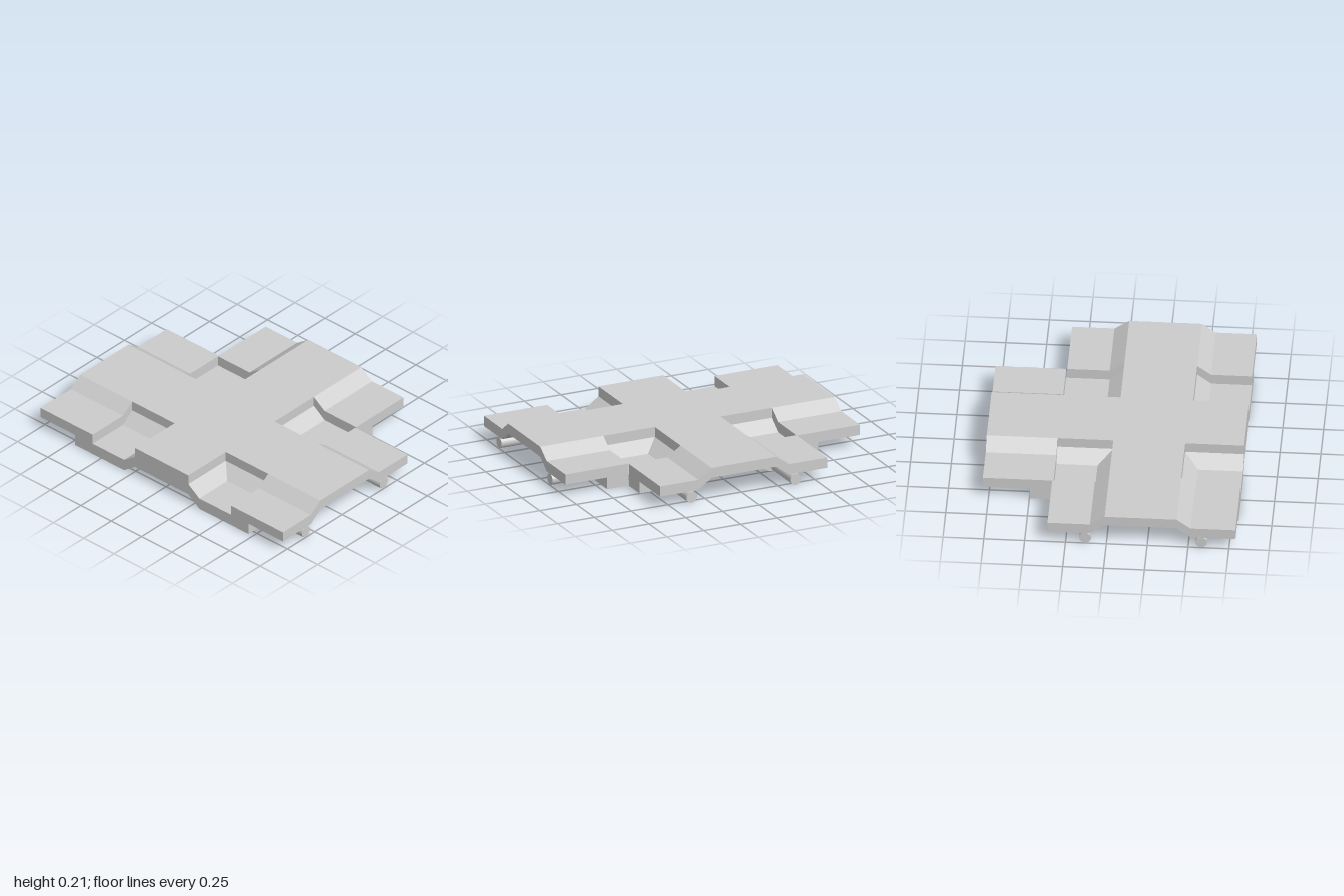
import * as THREE from 'three';

const mat = new THREE.MeshStandardMaterial({ color: 0xcccccc });

// Heights: each layer is a folded sheet, low on the flanks and raised along the ridge
const UPPER = { low: 0.147, high: 0.21, bottomLow: 0.08, bottomHigh: 0.145 };
const LOWER = { low: 0.08, high: 0.145, bottomLow: 0.004, bottomHigh: 0.07 };

// Fold positions: edge, slope foot, ridge, ridge, slope foot, edge
const FRONT = [-0.79, -0.535, -0.45, -0.005, 0.085, 0.345];
const BACK = [-0.79, -0.515, -0.43, 0.01, 0.1, 0.36];
const SIDE = [-0.57, -0.31, -0.22, 0.22, 0.31, 0.57];
const WINDOW_X = 0.352;

export function createModel() {
  const group = new THREE.Group();

  const add = (name, geometry) => {
    const mesh = new THREE.Mesh(geometry, mat);
    mesh.name = name;
    group.add(mesh);
    return mesh;
  };

  // Folded sheet with vertical thickness, extruded along z
  const foldedSheet = (folds, h, depth) => {
    const isRidge = (i) => i === 2 || i === 3;
    const top = folds.map((u, i) => new THREE.Vector2(u, isRidge(i) ? h.high : h.low));
    const under = folds.map((u, i) => new THREE.Vector2(u, isRidge(i) ? h.bottomHigh : h.bottomLow));
    return new THREE.ExtrudeGeometry(new THREE.Shape([...under, ...top.reverse()]), { depth, bevelEnabled: false });
  };

  // Raised cross joining all arms
  const plan = [
    [FRONT[2], 0.57], [FRONT[3], 0.57], [FRONT[3], 0.22], [WINDOW_X, 0.22],
    [WINDOW_X, -0.22], [BACK[3], -0.22], [BACK[3], -0.57], [BACK[2], -0.57],
    [BACK[2], -0.22], [-0.79, -0.22], [-0.79, 0.22], [FRONT[2], 0.22],
  ].map(([x, z]) => new THREE.Vector2(x, z));
  const cross = new THREE.ExtrudeGeometry(new THREE.Shape(plan), { depth: 0.14, bevelEnabled: false });
  add('centralCross', cross.rotateX(Math.PI / 2).translate(0, 0.21, 0));

  // Folded arms: the upper sheet overhangs the lower one
  for (const [name, h, zEnd, xEnd] of [['upper', UPPER, 1, 0.785], ['lower', LOWER, 0.715, 0.5]]) {
    add(name + 'FrontArm', foldedSheet(FRONT, h, zEnd - 0.57).translate(0, 0, 0.57));
    add(name + 'BackArm', foldedSheet(BACK, h, zEnd - 0.57).translate(0, 0, -zEnd));
    add(name + 'SideArm', foldedSheet(SIDE, h, xEnd - WINDOW_X).rotateY(Math.PI / 2).translate(WINDOW_X, 0, 0));
  }

  // Recessed corner pan: two slopes meeting in a hip above a flat floor
  const pan = (xs, zs) => {
    const out = [];
    const flip = (xs[2] - xs[0]) * (zs[2] - zs[0]) < 0;
    const tri = (a, b, c) => out.push(...a, ...(flip ? c : b), ...(flip ? b : c));
    const high = (i, j) => i === 0 || j === 0;
    const T = (i, j) => [xs[i], high(i, j) ? LOWER.high : LOWER.low, zs[j]];
    const B = (i, j) => [xs[i], high(i, j) ? LOWER.bottomHigh : LOWER.bottomLow, zs[j]];
    for (let j = 0; j < 2; j++) {
      for (let i = 0; i < 2; i++) {
        tri(T(i, j), T(i, j + 1), T(i + 1, j + 1));
        tri(T(i, j), T(i + 1, j + 1), T(i + 1, j));
        tri(B(i, j), B(i + 1, j + 1), B(i, j + 1));
        tri(B(i, j), B(i + 1, j), B(i + 1, j + 1));
      }
      // outer edge
      tri(B(2, j), T(2, j), T(2, j + 1));
      tri(B(2, j), T(2, j + 1), B(2, j + 1));
    }
    const g = new THREE.BufferGeometry();
    g.setAttribute('position', new THREE.Float32BufferAttribute(out, 3));
    g.computeVertexNormals();
    return g;
  };

  for (const [side, s, f] of [['front', 1, FRONT], ['back', -1, BACK]]) {
    const zs = [0.22 * s, 0.31 * s, 0.57 * s];
    add(side + 'RightPan', pan([f[2], f[1], f[0]], zs));
    add(side + 'LeftPan', pan([f[3], f[4], WINDOW_X], zs));

    // Round pegs projecting from the lower sheet under the overhangs
    for (const x of [-0.58, 0.13]) {
      add(side + 'Peg', new THREE.CylinderGeometry(0.036, 0.036, 0.3, 32)
        .rotateX(Math.PI / 2).translate(x, 0.044, 0.85 * s));
    }
    add('sidePeg', new THREE.CylinderGeometry(0.036, 0.036, 0.3, 32)
      .rotateZ(Math.PI / 2).translate(0.635, 0.04, 0.355 * s));
  }

  return group;
}
